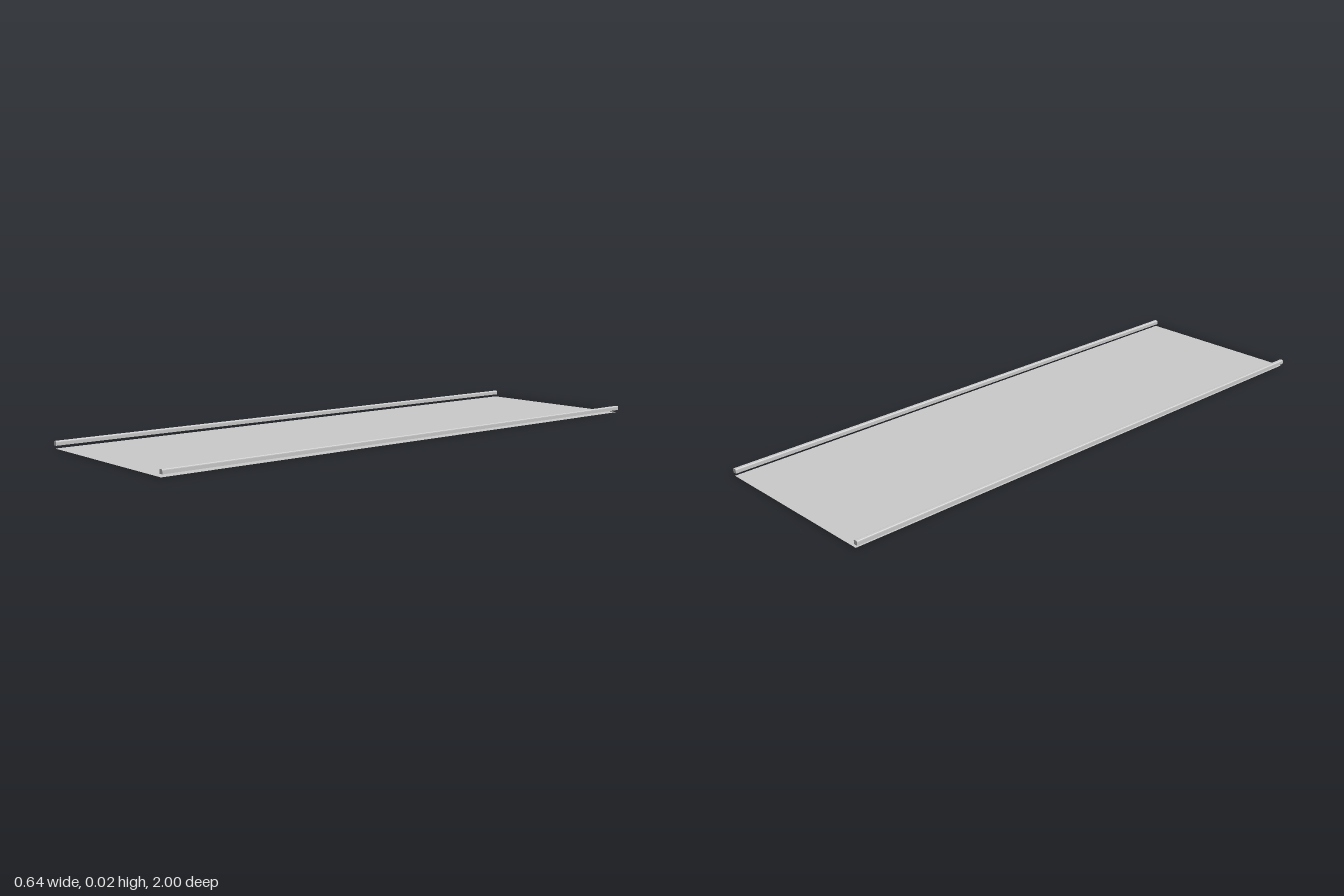
import * as THREE from 'three';

const LENGTH = 2;
const RAIL_X = 0.3135; // centre line of each side rail

// Rail cross-section: square foot, rounded top
function railProfile() {
  const w = 0.0075, bottom = 0.0095, top = 0.024, r = 0.004;
  const s = new THREE.Shape();
  s.moveTo(-w, bottom);
  s.lineTo(w, bottom);
  s.lineTo(w, top - r);
  s.quadraticCurveTo(w, top, w - r, top);
  s.lineTo(-w + r, top);
  s.quadraticCurveTo(-w, top, -w, top - r);
  s.closePath();
  return s;
}

export function createModel() {
  const group = new THREE.Group();
  const material = new THREE.MeshStandardMaterial({ color: 0xcccccc, side: THREE.DoubleSide });

  // Thin flat sheet on the ground
  const sheetGeometry = new THREE.PlaneGeometry(RAIL_X * 2, LENGTH, 2, 1).rotateX(-Math.PI / 2);
  const sheet = new THREE.Mesh(sheetGeometry, material);
  sheet.name = 'sheet';
  group.add(sheet);

  // Rails running along both long edges, slightly above the sheet
  const railGeometry = new THREE.ExtrudeGeometry(railProfile(), {
    depth: LENGTH, bevelEnabled: false, curveSegments: 3,
  }).translate(0, 0, -LENGTH / 2);
  for (const [name, side] of [['leftRail', 1], ['rightRail', -1]]) {
    const rail = new THREE.Mesh(railGeometry, material);
    rail.name = name;
    rail.position.x = side * RAIL_X;
    group.add(rail);
  }
  return group;
}
